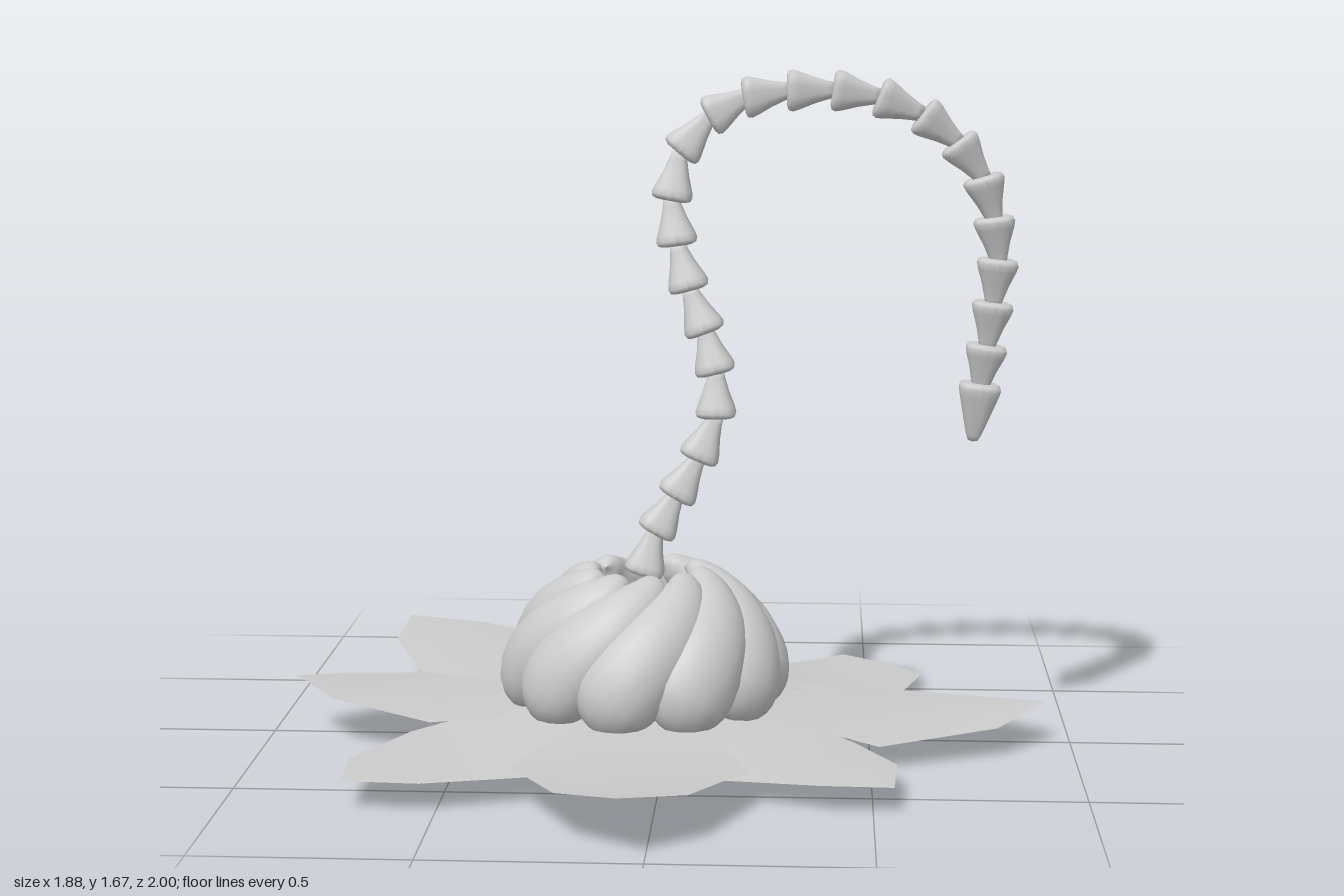
import * as THREE from 'three';

const CENTRE_X = -0.06;

// Leaf: [angle in degrees, length, height at widest, shoulder, tip]
const LEAVES = [
  [0, 1.0, 0.075, 0.08, 0.105],
  [45, 0.86, 0.06, 0.07, 0.06],
  [90, 1.0, 0.1, 0.12, 0.145],
  [135, 0.93, 0.075, 0.075, 0.07],
  [180, 0.88, 0.11, 0.125, 0.145],
  [225, 0.98, 0.115, 0.125, 0.14],
  [270, 1.0, 0.09, 0.095, 0.115],
  [315, 0.985, 0.03, 0.045, 0],
];

// Thin pointed leaf along +x: rows of left edge, midrib, right edge
function leafGeometry(length, wideY, shoulderY, tipY) {
  const rows = [
    [0.14, 0.1, 0.105, 0],
    [0.36, 0.2, 0.1, 0.005],
    [0.58, 0.275, wideY, 0.015],
    [0.87, 0.148, shoulderY, 0.005],
    [1, 0, tipY, 0],
  ];
  const pos = [], index = [];
  rows.forEach(([r, w, y, dip], i) => {
    for (const s of [-1, 0, 1]) pos.push(r * length, y - Math.abs(s) * dip, s * w * length);
    if (i === 0) return;
    for (let k = 0; k < 2; k++) {
      const a = (i - 1) * 3 + k, b = a + 3;
      index.push(a, a + 1, b);
      index.push(a + 1, b + 1, b);
    }
  });
  const g = new THREE.BufferGeometry();
  g.setAttribute('position', new THREE.Float32BufferAttribute(pos, 3));
  g.setIndex(index);
  g.computeVertexNormals();
  return g;
}

// Swirling bulb lobe: stations of [radius, height, angle, half width]
function lobeGeometry() {
  const stations = [
    [0.25, 0.1, 0, 0],
    [0.265, 0.12, -2, 0.075],
    [0.272, 0.17, -8, 0.11],
    [0.25, 0.25, -22, 0.108],
    [0.21, 0.325, -40, 0.088],
    [0.165, 0.385, -58, 0.06],
    [0.135, 0.415, -70, 0.035],
    [0.12, 0.42, -78, 0],
  ];
  const path = new THREE.CatmullRomCurve3(stations.map(([r, y, a]) => {
    const t = THREE.MathUtils.degToRad(a);
    return new THREE.Vector3(r * Math.cos(t), y, r * Math.sin(t));
  }));
  const widths = new THREE.CatmullRomCurve3(stations.map((s, i) => new THREE.Vector3(i, s[3], 0)));
  const rings = 28, sides = 18, pos = [], index = [];
  for (let i = 0; i <= rings; i++) {
    const t = i / rings;
    const c = path.getPoint(t), tan = path.getTangent(t);
    const w = Math.max(widths.getPoint(t).y, 0.0005);
    const out = new THREE.Vector3(c.x, 0.12, c.z);
    out.addScaledVector(tan, -out.dot(tan)).normalize();
    const side = new THREE.Vector3().crossVectors(tan, out);
    for (let j = 0; j < sides; j++) {
      const a = (j / sides) * Math.PI * 2;
      const p = c.clone().addScaledVector(out, Math.cos(a) * w * 0.82).addScaledVector(side, Math.sin(a) * w);
      pos.push(p.x, p.y, p.z);
      if (i === rings) continue;
      const p0 = i * sides + j, p1 = i * sides + (j + 1) % sides;
      index.push(p0, p1, p0 + sides, p1, p1 + sides, p0 + sides);
    }
  }
  const g = new THREE.BufferGeometry();
  g.setAttribute('position', new THREE.Float32BufferAttribute(pos, 3));
  g.setIndex(index);
  g.computeVertexNormals();
  return g;
}

// Tapered bead with a rounded-square section, wide end at the origin
function beadGeometry(profile) {
  const g = new THREE.LatheGeometry(profile.map(([r, y]) => new THREE.Vector2(r, y)), 20);
  const p = g.attributes.position;
  for (let i = 0; i < p.count; i++) {
    const x = p.getX(i), z = p.getZ(i), r = Math.hypot(x, z);
    if (r < 1e-6) continue;
    const k = Math.pow((x / r) ** 4 + (z / r) ** 4, -0.25);
    p.setX(i, x * k);
    p.setZ(i, z * k);
  }
  g.computeVertexNormals();
  return g;
}

export function createModel() {
  const model = new THREE.Group();
  const grey = new THREE.MeshStandardMaterial({ color: 0xcccccc });
  const thin = new THREE.MeshStandardMaterial({ color: 0xcccccc, side: THREE.DoubleSide });

  // Ground leaves
  const leaves = new THREE.Group();
  leaves.name = 'leaves';
  for (const [angle, ...shape] of LEAVES) {
    const leaf = new THREE.Mesh(leafGeometry(...shape), thin);
    leaf.name = 'leaf';
    leaf.rotation.y = -THREE.MathUtils.degToRad(angle);
    leaves.add(leaf);
  }
  leaves.position.x = CENTRE_X;
  model.add(leaves);

  // Bulb of ten swirling lobes
  const bulb = new THREE.Group();
  bulb.name = 'bulb';
  const lobe = lobeGeometry();
  for (let i = 0; i < 10; i++) {
    const mesh = new THREE.Mesh(lobe, grey);
    mesh.name = 'bulbLobe';
    mesh.rotation.y = -THREE.MathUtils.degToRad(110 + i * 36);
    bulb.add(mesh);
  }
  bulb.position.x = CENTRE_X;
  model.add(bulb);

  // Hooked stem: one bead from each joint to the next
  const joints = [
    [-0.065, 0.42], [-0.035, 0.525], [0.015, 0.615], [0.07, 0.71], [0.115, 0.815], [0.115, 0.925],
    [0.09, 1.025], [0.05, 1.13], [0.02, 1.24], [0.005, 1.35], [0.025, 1.465], [0.095, 1.55],
    [0.18, 1.597], [0.285, 1.615], [0.395, 1.617], [0.505, 1.602], [0.61, 1.56], [0.695, 1.495],
    [0.758, 1.41], [0.787, 1.312], [0.8, 1.21], [0.79, 1.105], [0.777, 1.0], [0.762, 0.9], [0.745, 0.76],
  ].map(([x, y]) => new THREE.Vector3(x, y, 0.003));
  const bead = beadGeometry([[0, 0], [0.038, 0], [0.047, 0.004], [0.05, 0.013], [0.046, 0.028],
    [0.032, 0.065], [0.022, 0.1], [0.019, 0.115], [0, 0.118]]);
  const tip = beadGeometry([[0, -0.005], [0.04, -0.005], [0.049, 0], [0.051, 0.01], [0.046, 0.03],
    [0.03, 0.085], [0.018, 0.125], [0.012, 0.137], [0, 0.141]]);
  const stem = new THREE.Group();
  stem.name = 'stem';
  const up = new THREE.Vector3(0, 1, 0);
  for (let i = 0; i < joints.length - 1; i++) {
    const last = i === joints.length - 2;
    const mesh = new THREE.Mesh(last ? tip : bead, grey);
    mesh.name = last ? 'stemTip' : 'stemBead';
    mesh.position.copy(joints[i]);
    mesh.quaternion.setFromUnitVectors(up, joints[i + 1].clone().sub(joints[i]).normalize());
    stem.add(mesh);
  }
  model.add(stem);
  return model;
}
